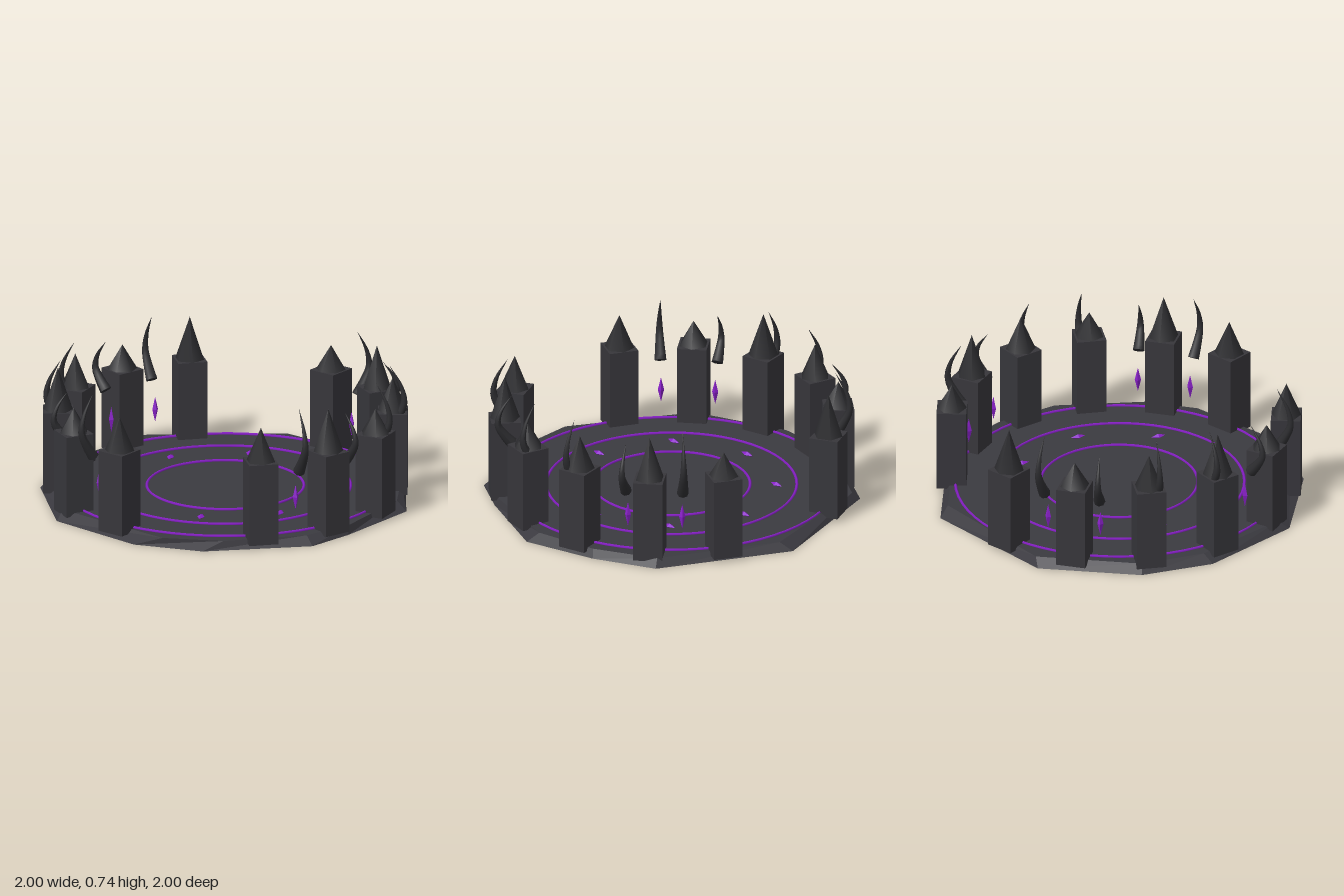
import * as THREE from 'three';

const mat = (name, color) => {
  const m = new THREE.MeshStandardMaterial({ color });
  m.name = name;
  return m;
};

function add(parent, name, geo, material, x = 0, y = 0, z = 0) {
  const mesh = new THREE.Mesh(geo, material);
  mesh.name = name;
  mesh.position.set(x, y, z);
  parent.add(mesh);
  return mesh;
}

// Rough stone slab: an uneven bottom outline joined to an uneven top outline
function slabGeometry(bottom, top, height) {
  const v = [];
  const B = (i) => [bottom[i][0], 0, bottom[i][1]];
  const T = (i) => [top[i][0], height, top[i][1]];
  for (let i = 0; i < bottom.length; i++) {
    const j = (i + 1) % bottom.length;
    v.push(...B(j), ...B(i), ...T(i), ...B(j), ...T(i), ...T(j));
    v.push(0, height, 0, ...T(j), ...T(i));
    v.push(0, 0, 0, ...B(i), ...B(j));
  }
  const g = new THREE.BufferGeometry();
  g.setAttribute('position', new THREE.Float32BufferAttribute(v, 3));
  g.computeVertexNormals();
  return g;
}

// Tube that tapers to a point along its curve
function taperedTube(curve, radius, steps, sides) {
  const g = new THREE.TubeGeometry(curve, steps, radius, sides);
  const p = g.attributes.position;
  const v = new THREE.Vector3();
  for (let i = 0; i <= steps; i++) {
    const c = curve.getPointAt(i / steps);
    for (let j = 0; j <= sides; j++) {
      const k = i * (sides + 1) + j;
      v.fromBufferAttribute(p, k).sub(c).multiplyScalar(1 - i / steps).add(c);
      p.setXYZ(k, v.x, v.y, v.z);
    }
  }
  g.computeVertexNormals();
  return g;
}

export function createModel() {
  const root = new THREE.Group();
  root.name = 'ritualArena';
  const stone = mat('dark stone', 0x3b3a40);
  const pillarStone = mat('pillar stone', 0x37363b);
  const spireStone = mat('spire stone', 0x2c2c2f);
  const purple = mat('purple glow', 0x8820c8);

  // Slab
  const bottom = [[0.06, -1], [0.75, -0.66], [0.9, -0.33], [1, 0.075], [0.79, 0.54], [0.65, 0.77],
    [0.1, 0.995], [-0.285, 0.965], [-0.78, 0.67], [-1, 0.13], [-0.97, -0.27], [-0.68, -0.75]];
  const top = [[0.1, -0.94], [0.72, -0.64], [0.88, -0.31], [0.94, 0.04], [0.79, 0.5], [0.61, 0.73],
    [0.2, 0.93], [-0.13, 0.955], [-0.76, 0.61], [-0.95, 0.1], [-0.93, -0.25], [-0.63, -0.74]];
  add(root, 'slab', slabGeometry(bottom, top, 0.046), stone);

  const arena = new THREE.Group();
  arena.name = 'arena';
  arena.position.set(-0.011, 0, 0.009);
  root.add(arena);

  // Glowing floor rings with a ridged cross-section
  for (const r of [0.42, 0.67, 0.877]) {
    add(arena, 'floorRing', new THREE.TorusGeometry(r, 0.008, 4, 64), purple, 0, 0.051, 0).rotation.x = Math.PI / 2;
  }

  // Floor runes
  const rune = new THREE.OctahedronGeometry(1).scale(0.02, 0.014, 0.042);
  for (let i = 0; i < 8; i++) {
    const a = (i * Math.PI) / 4;
    add(arena, 'floorRune', rune, purple, 0.56 * Math.sin(a), 0.052, 0.56 * Math.cos(a));
  }

  // Ring of pillars with spires, open at front and back
  const block = new THREE.BoxGeometry(0.16, 0.45, 0.16);
  for (let k = 0; k < 14; k++) {
    if (k % 7 === 0) continue;
    const a = (-k * Math.PI) / 7;
    const pillar = new THREE.Group();
    pillar.name = 'pillar';
    pillar.rotation.y = a;
    pillar.position.set(0.895 * Math.sin(a), 0, 0.895 * Math.cos(a));
    arena.add(pillar);
    add(pillar, 'pillarBlock', block, pillarStone, 0, 0.25, 0);
    const h = 0.235 - 0.05 * (k % 3);
    add(pillar, 'spire', new THREE.ConeGeometry(0.08, h, 6), spireStone, 0, 0.475 + h / 2, 0);
  }

  // Floating curved horns, each with a crystal below it
  const crystal = new THREE.OctahedronGeometry(1).scale(0.017, 0.07, 0.017);
  const horns = [0.74, 0.66].map((tip) => {
    const s = (tip - 0.385) / 0.355;
    const pts = [[0.88, 0], [0.922, 0.065], [0.957, 0.145], [0.943, 0.235], [0.88, 0.355]];
    const curve = new THREE.CatmullRomCurve3(pts.map(([r, y]) => new THREE.Vector3(0, 0.385 + y * s, r)));
    const cap = new THREE.CircleGeometry(0.032, 8);
    cap.applyQuaternion(new THREE.Quaternion().setFromUnitVectors(
      new THREE.Vector3(0, 0, 1), curve.getTangentAt(0).negate()));
    return { body: taperedTube(curve, 0.032, 14, 8), cap, base: curve.getPointAt(0) };
  });
  for (let k = 0; k < 18; k++) {
    const a = (k * Math.PI) / 9;
    if (Math.abs(Math.sin(a)) < 0.5) continue;
    const g = new THREE.Group();
    g.name = 'hornAndCrystal';
    g.rotation.y = a;
    arena.add(g);
    const horn = horns[k % 3 === 0 ? 1 : 0];
    add(g, 'horn', horn.body, spireStone);
    add(g, 'hornBase', horn.cap, spireStone, horn.base.x, horn.base.y, horn.base.z);
    add(g, 'crystal', crystal, purple, 0, 0.23, 0.84);
  }
  return root;
}
